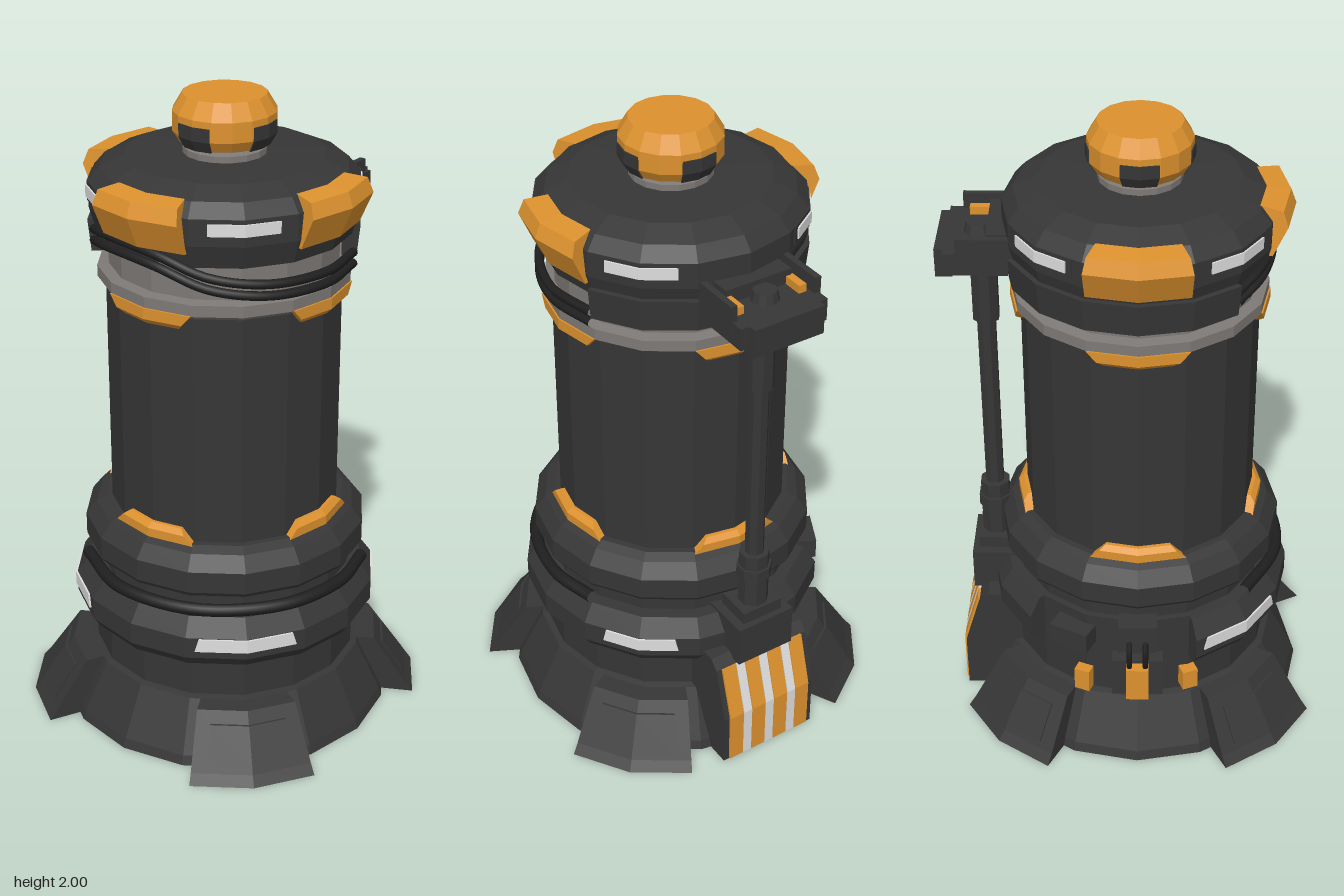
import * as THREE from 'three';
import { mergeGeometries } from 'three/addons/utils/BufferGeometryUtils.js';

const STEP = Math.PI / 8; // the whole body is 16-sided
const rad = THREE.MathUtils.degToRad;

const mat = (name, color) => {
  const m = new THREE.MeshStandardMaterial({ color });
  m.name = name;
  return m;
};

// Faceted normals
function flat(geo) {
  const g = geo.index ? geo.toNonIndexed() : geo;
  g.computeVertexNormals();
  return g;
}

const vecs = (pts) => pts.map(([x, y]) => new THREE.Vector2(x, y));

// Full turned part from a bottom-to-top [radius, y] profile
const turned = (pts, segs = 16) => flat(new THREE.LatheGeometry(vecs(pts), segs));

// Closed ring sector with end caps; angles run from front (+z) towards +x
function sector(pts, a0, a1) {
  const n = Math.round((a1 - a0) / STEP);
  const side = new THREE.LatheGeometry(vecs([...pts, pts[0]]), n, a0, a1 - a0).toNonIndexed();
  const cap = (a, flip) => {
    const g = new THREE.ShapeGeometry(new THREE.Shape(vecs(pts)));
    if (flip) {
      const ix = g.index.array;
      for (let i = 0; i < ix.length; i += 3) [ix[i], ix[i + 1]] = [ix[i + 1], ix[i]];
    }
    return g.rotateY(a - Math.PI / 2).toNonIndexed();
  };
  return flat(mergeGeometries([side, cap(a0, false), cap(a1, true)]));
}

// Two-facet plate facing +z, narrowed by kBottom..kTop while staying on the facets
function panel(pts, kBottom, kTop = kBottom) {
  const g = sector(pts, -STEP, STEP);
  const p = g.attributes.position;
  const ys = pts.map((q) => q[1]);
  const lo = Math.min(...ys), hi = Math.max(...ys);
  for (let i = 0; i < p.count; i++) {
    const x = p.getX(i), z = p.getZ(i), r = Math.hypot(x, z);
    const k = kBottom + (kTop - kBottom) * (p.getY(i) - lo) / (hi - lo);
    p.setX(i, x * k);
    p.setZ(i, r - k * (r - z));
  }
  return flat(g);
}

// Side profile of [distance behind, y] points, extruded across x
function sideExtrude(pts, width) {
  const g = new THREE.ExtrudeGeometry(new THREE.Shape(vecs(pts)), { depth: width, bevelEnabled: false });
  return flat(g.translate(0, 0, -width / 2).rotateY(Math.PI / 2));
}

// Cable through [degrees, y] points at one radius
function cable(pts, r, thick) {
  const path = pts.map(([a, y]) => new THREE.Vector3(r * Math.sin(rad(a)), y, r * Math.cos(rad(a))));
  return new THREE.TubeGeometry(new THREE.CatmullRomCurve3(path), 40, thick, 8);
}

export function createModel() {
  const dark = mat('dark metal', 0x363636);
  const black = mat('black rubber', 0x1f1f1f);
  const orange = mat('orange paint', 0xdd922e);
  const grey = mat('grey metal', 0x7d7976);
  const light = mat('pale light', 0xdedede);

  const model = new THREE.Group();
  const body = new THREE.Group();
  body.name = 'canister';
  body.position.z = 0.02;
  model.add(body);

  const add = (name, geo, m, parent = body, deg = 0) => {
    const mesh = new THREE.Mesh(geo, m);
    mesh.name = name;
    mesh.rotation.y = rad(deg);
    parent.add(mesh);
    return mesh;
  };
  const box = (name, m, size, pos, parent = model, deg = 0) =>
    add(name, flat(new THREE.BoxGeometry(...size)), m, parent, deg).position.set(...pos);

  // Base skirt and lower column
  add('baseSkirt', turned([[0, 0], [0.53, 0], [0.52, 0.03], [0.44, 0.19], [0.42, 0.195], [0.42, 0.49], [0, 0.49]]), dark);

  // Four splayed feet
  for (const a of [45, 135, 225, 315]) {
    add('foot', panel([[0.3, 0], [0.635, 0], [0.61, 0.03], [0.5, 0.19], [0.3, 0.19]], 0.8), dark, body, a);
    add('footPlate', panel([[0.588, 0.05], [0.602, 0.05], [0.531, 0.155], [0.517, 0.155]], 0.58), dark, body, a);
  }

  // Belt, left open on the -x side for the equipment bay
  add('belt', sector([[0.4, 0.33], [0.455, 0.33], [0.48, 0.365], [0.48, 0.435], [0.44, 0.49], [0.4, 0.49]],
    -STEP * 2.5 - STEP / 2, STEP * 10), dark);
  for (const a of [-45, 45, 135]) {
    const k = a === 135 ? 0.65 : 0.85;
    add('beltLight', panel([[0.478, 0.39], [0.486, 0.39], [0.486, 0.433], [0.478, 0.433]], k, k * 0.92), light, body, a);
  }

  // Cable groove and upper ring
  add('upperRing', turned([[0.4, 0.48], [0.4, 0.555], [0.435, 0.56], [0.445, 0.575], [0.445, 0.645], [0.41, 0.69],
    [0.38, 0.705], [0, 0.705]]), dark);
  add('lowerCable', cable([[-42, 0.52], [-10, 0.52], [25, 0.52], [60, 0.52], [90, 0.52], [113, 0.52]], 0.445, 0.02), black);

  // Main cylinder, collar and neck
  add('cylinder', turned([[0.36, 0.69], [0.36, 1.44]]), dark);
  add('collar', turned([[0.355, 1.43], [0.385, 1.45], [0.385, 1.485], [0.35, 1.49], [0.35, 1.62]]), grey);
  for (const a of [0, 90, 180, 270]) {
    add('lowerTrim', panel([[0.34, 0.70], [0.388, 0.70], [0.388, 0.73], [0.372, 0.745], [0.34, 0.745]], 1, 0.7), orange, body, a);
    add('upperTrim', panel([[0.34, 1.40], [0.372, 1.40], [0.39, 1.418], [0.39, 1.452], [0.34, 1.452]], 0.7, 1), orange, body, a);
  }

  // Head with a lower apron around the left and back
  add('head', turned([[0.3, 1.6], [0.385, 1.6], [0.405, 1.67], [0.405, 1.75], [0.37, 1.79], [0.30, 1.82], [0, 1.825]]), dark);
  add('headApron', sector([[0.355, 1.53], [0.4, 1.53], [0.41, 1.63], [0.355, 1.63]], STEP * 5, STEP * 14), dark);
  for (const a of [45, 135, 225, 315]) {
    add('lightFrame', panel([[0.4, 1.69], [0.408, 1.69], [0.408, 1.75], [0.4, 1.75]], 0.78), dark, body, a);
    add('headLight', panel([[0.406, 1.702], [0.413, 1.702], [0.413, 1.738], [0.406, 1.738]], 0.66), light, body, a);
  }
  for (const a of [-90, 0, 90])
    add('headGuard', panel([[0.36, 1.645], [0.41, 1.645], [0.452, 1.74], [0.435, 1.785], [0.34, 1.795]], 0.95, 0.85), orange, body, a);

  // Loose cables slung under the head
  for (const d of [0, 0.035])
    add('headCable', cable([[-45, 1.6 - d], [-25, 1.63 - d], [8, 1.625 - d], [30, 1.575 - d], [55, 1.55 - d],
      [85, 1.545 - d], [112, 1.545 - d]], 0.392, 0.014), black);

  // Top cap with four dark ports
  add('capNeck', turned([[0.125, 1.81], [0.125, 1.842], [0.105, 1.847], [0.105, 1.87]]), grey);
  add('cap', turned([[0, 1.858], [0.135, 1.858], [0.155, 1.89], [0.155, 1.95], [0.125, 2], [0, 2]]), orange);
  for (const a of [0, 90, 180, 270])
    add('capPort', panel([[0.12, 1.855], [0.139, 1.855], [0.159, 1.89], [0.159, 1.93], [0.12, 1.93]], 0.92), dark, body, a);

  // Rear strut: top bracket
  const strut = new THREE.Group();
  strut.name = 'rearStrut';
  model.add(strut);
  box('bracket', dark, [0.29, 0.07, 0.19], [0, 1.605, -0.455], strut);
  box('bracketLip', dark, [0.235, 0.09, 0.05], [0, 1.595, -0.55], strut);
  box('bracketRoot', dark, [0.22, 0.13, 0.1], [0, 1.62, -0.375], strut);
  for (const s of [-1, 1]) {
    box('bracketCheek', dark, [0.02, 0.1, 0.17], [s * 0.14, 1.64, -0.425], strut);
    box('bracketClip', orange, [0.025, 0.04, 0.065], [s * 0.105, 1.645, -0.455], strut);
  }
  const bolt = add('bracketBolt', flat(new THREE.CylinderGeometry(0.035, 0.045, 0.04, 12)), dark, strut);
  bolt.position.set(0, 1.65, -0.455);

  // Rear strut: pole with thicker sleeves
  for (const [name, r, y0, y1] of [['pole', 0.03, 0.48, 1.58], ['upperSleeve', 0.042, 1.34, 1.54],
    ['lowerSleeve', 0.048, 0.5, 0.73], ['poleCollar', 0.055, 0.64, 0.68]]) {
    const rod = add(name, flat(new THREE.CylinderGeometry(r, r, y1 - y0, 8)), dark, strut, 22.5);
    rod.position.set(0, (y0 + y1) / 2, -0.445);
  }

  // Rear strut: socket and striped ramp
  box('socket', dark, [0.2, 0.14, 0.16], [0, 0.43, -0.44], strut);
  box('socketTop', dark, [0.14, 0.06, 0.12], [0, 0.51, -0.44], strut);
  add('ramp', sideExtrude([[0.34, 0], [0.55, 0], [0.55, 0.18], [0.5, 0.35], [0.47, 0.38], [0.36, 0.38]], 0.34), dark, strut);
  const stripe = (w) => sideExtrude([[0.549, 0.005], [0.557, 0.005], [0.557, 0.181], [0.507, 0.352], [0.499, 0.35], [0.549, 0.18]], w);
  for (let i = 0; i < 7; i++) {
    const pale = i % 2 === 1;
    add(pale ? 'paleStripe' : 'orangeStripe', stripe(pale ? 0.03 : 0.05), pale ? light : orange, strut).position.x = (i - 3) * 0.042;
  }

  // Equipment bay on the -x side
  const bay = new THREE.Group();
  bay.name = 'equipmentBay';
  body.add(bay);
  box('bayBlock', dark, [0.07, 0.1, 0.12], [-0.43, 0.455, 0], bay);
  box('bayPanel', dark, [0.05, 0.14, 0.16], [-0.43, 0.29, 0], bay);
  box('bayClip', orange, [0.04, 0.12, 0.07], [-0.47, 0.29, 0], bay);
  box('bayBox', dark, [0.08, 0.07, 0.13], [-0.385, 0.42, -0.2], bay, -27);
  box('frontClip', orange, [0.04, 0.07, 0.05], [-0.405, 0.255, 0.16], bay, 22);
  box('backClip', orange, [0.035, 0.08, 0.05], [-0.415, 0.255, -0.17], bay, -22);
  const hose = new THREE.CatmullRomCurve3([[-0.45, 0.45], [-0.485, 0.42], [-0.485, 0.38], [-0.46, 0.33]]
    .map(([x, y]) => new THREE.Vector3(x, y, 0)));
  for (const z of [-0.025, 0.025])
    add('bayHose', new THREE.TubeGeometry(hose, 12, 0.009, 6), black, bay).position.z = z;

  return model;
}
